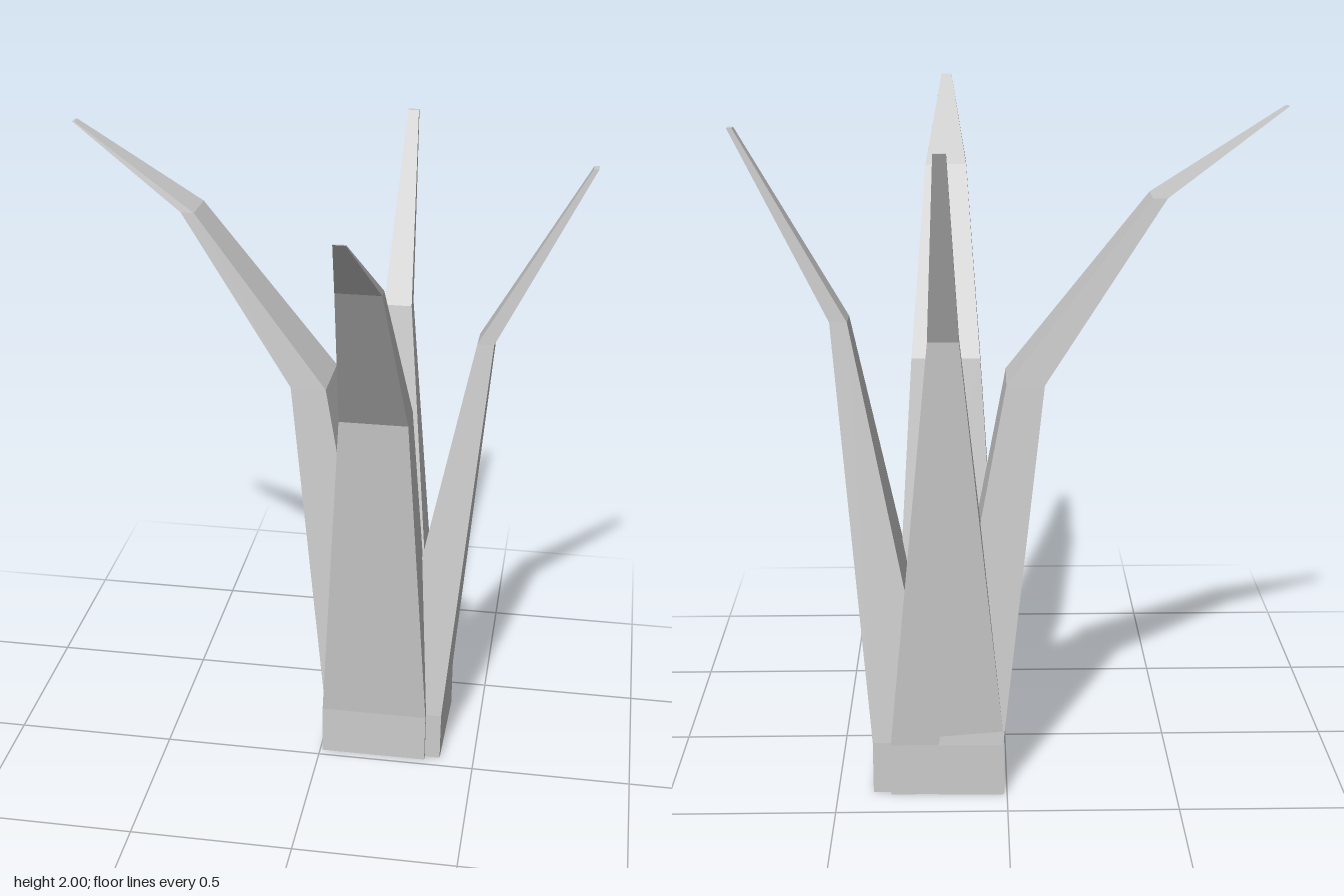
import * as THREE from 'three';

// Leaf sections from the ground up: [height, inner reach, outer reach, half width]
const LONG = [
  [0, 0, 0.19, 0.167],
  [0.16, 0, 0.19, 0.167],
  [1.235, 0.2, 0.308, 0.102],
  [1.755, 0.603, 0.643, 0.063],
  [2.0, 0.968, 0.975, 0.016],
];
const SHORT = [
  [0, 0, 0.19, 0.167],
  [0.16, 0, 0.19, 0.167],
  [1.4, 0.245, 0.295, 0.043],
  [1.94, 0.55, 0.565, 0.017],
];

// Four-sided blade lofted through the sections, leaning towards +z
function leafGeometry(sections) {
  const rings = sections.map(([y, inner, outer, w]) => [
    [-w, y, outer], [w, y, outer], [w, y, inner], [-w, y, inner],
  ]);
  const pos = [];
  const quad = (a, b, c, d) => pos.push(...a, ...b, ...c, ...a, ...c, ...d);
  for (let i = 0; i < rings.length - 1; i++) {
    for (let k = 0; k < 4; k++) {
      const n = (k + 1) % 4;
      quad(rings[i][k], rings[i][n], rings[i + 1][n], rings[i + 1][k]);
    }
  }
  quad(...rings[rings.length - 1]);
  quad(...[...rings[0]].reverse());
  const geo = new THREE.BufferGeometry();
  geo.setAttribute('position', new THREE.Float32BufferAttribute(pos, 3));
  geo.computeVertexNormals();
  return geo;
}

export function createModel() {
  const group = new THREE.Group();
  group.name = 'leafCluster';
  const paleGrey = new THREE.MeshStandardMaterial({ color: 0xcccccc });
  paleGrey.name = 'paleGrey';

  const longLeaf = leafGeometry(LONG);
  const shortLeaf = leafGeometry(SHORT);

  // Name, blade, foot position and heading of each leaf
  const leaves = [
    ['frontLeaf', longLeaf, 0.175, -0.215, 0],
    ['rightLeaf', longLeaf, 0.2, -0.23, -Math.PI / 2 - 0.012],
    ['backLeaf', shortLeaf, 0.175, -0.203, Math.PI],
    ['leftLeaf', shortLeaf, 0.203, -0.213, Math.PI / 2 - 0.015],
  ];
  for (const [name, geo, x, z, heading] of leaves) {
    const leaf = new THREE.Mesh(geo, paleGrey);
    leaf.name = name;
    leaf.position.set(x, 0, z);
    leaf.rotation.y = heading;
    group.add(leaf);
  }
  return group;
}
